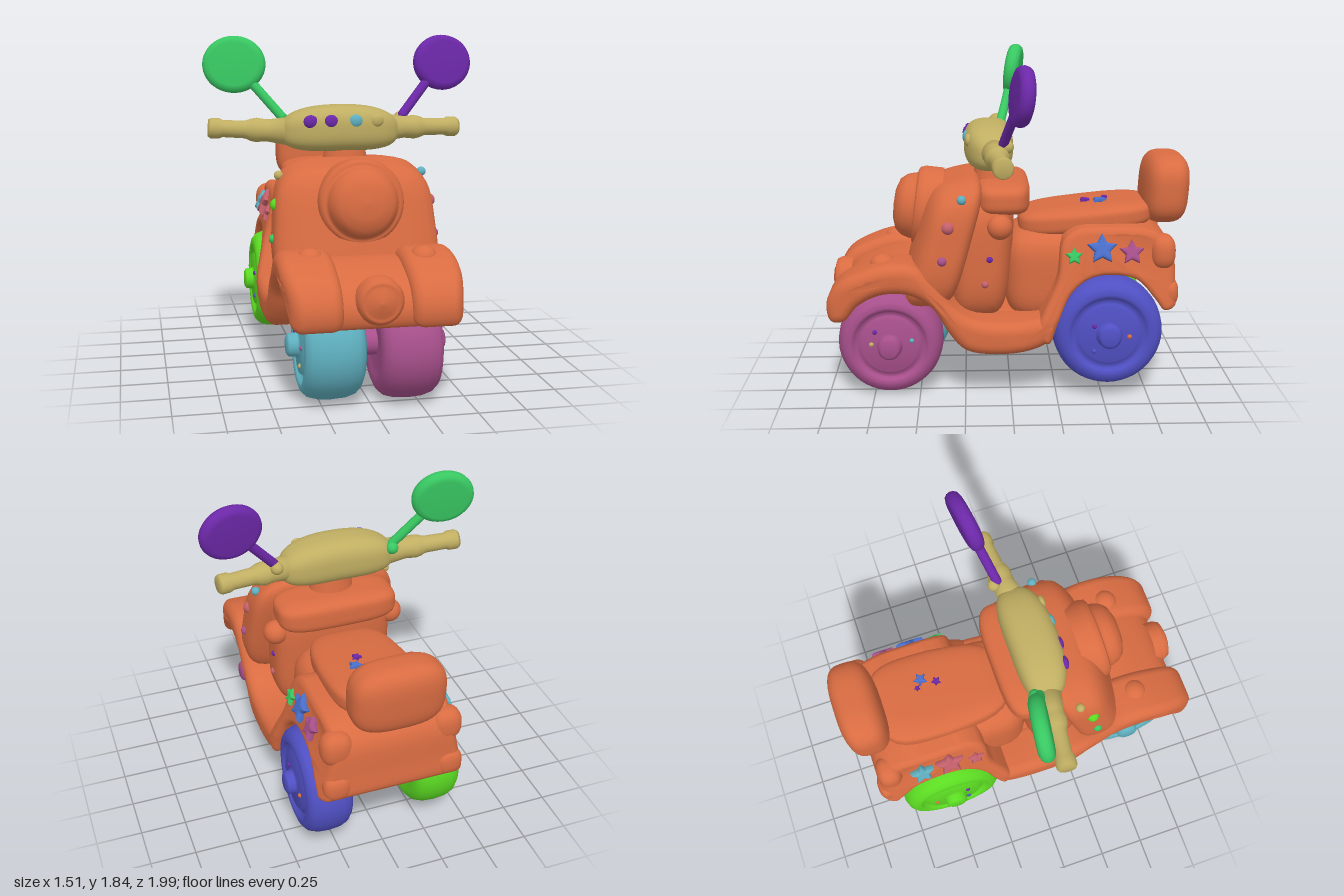
import * as THREE from 'three';
import { toCreasedNormals } from 'three/addons/utils/BufferGeometryUtils.js';

const paint = (name, color) => {
  const m = new THREE.MeshStandardMaterial({ color });
  m.name = name;
  return m;
};

export function createModel() {
  const root = new THREE.Group();
  root.name = 'scooter';
  const orange = paint('orange', 0xd96c42), pink = paint('pink', 0xa8508c), teal = paint('teal', 0x5fb0c0),
    blue = paint('blue', 0x5050c4), lime = paint('lime', 0x5cdc22), tan = paint('tan', 0xc0ae62),
    purple = paint('purple', 0x6c28a8), green = paint('green', 0x38c862),
    sky = paint('skyBlue', 0x4a70cc), rose = paint('rose', 0xc4606c);

  const add = (name, geo, mat, x = 0, y = 0, z = 0, parent = root) => {
    const m = new THREE.Mesh(geo, mat);
    m.name = name;
    m.position.set(x, y, z);
    parent.add(m);
    return m;
  };

  // Rounded block: a sphere pushed out to a superellipsoid, then bent by a rule
  const blob = (w, h, d, p = 4, rule) => {
    const g = new THREE.SphereGeometry(1, 48, 32), a = g.attributes.position, v = new THREE.Vector3();
    for (let i = 0; i < a.count; i++) {
      v.fromBufferAttribute(a, i);
      const n = (Math.abs(v.x) ** p + Math.abs(v.y) ** p + Math.abs(v.z) ** p) ** (1 / p);
      v.set(v.x / n * w, v.y / n * h, v.z / n * d);
      if (rule) rule(v);
      a.setXYZ(i, v.x, v.y, v.z);
    }
    g.computeVertexNormals();
    return g;
  };

  // Smooth side outline given as (z, y), extruded across x with rounded edges
  const slab = (pts, width, bevel, rule = x => x) => {
    const curve = new THREE.CatmullRomCurve3(pts.map(([z, y]) => new THREE.Vector3(z, y, 0)), true);
    const shape = new THREE.Shape(curve.getPoints(90).slice(0, -1).map(q => new THREE.Vector2(q.x, q.y)));
    const depth = width - 2 * bevel;
    const g = new THREE.ExtrudeGeometry(shape, { depth, bevelEnabled: true, bevelThickness: bevel,
      bevelSize: bevel, bevelOffset: -bevel, bevelSegments: 6, steps: 1 });
    g.translate(0, 0, -depth / 2);
    g.rotateY(-Math.PI / 2);
    const a = g.attributes.position;
    for (let i = 0; i < a.count; i++) a.setX(i, rule(a.getX(i), a.getY(i), a.getZ(i)));
    return toCreasedNormals(g, 0.8);
  };

  const lathe = pts => new THREE.LatheGeometry(pts.map(([r, t]) => new THREE.Vector2(r, t)), 48);
  const ball = (name, r, mat, x, y, z, parent) => add(name, new THREE.SphereGeometry(r, 20, 14), mat, x, y, z, parent);

  // Front fenders running back into the floor, narrowing at the nose
  const ribbon = [[.97, .46], [.99, .56], [.93, .67], [.8, .74], [.66, .78], [.52, .77], [.42, .68], [.32, .55],
    [.2, .47], [0, .45], [-.16, .47], [-.24, .47], [-.21, .35], [-.1, .29], [.1, .27], [.25, .3], [.34, .4],
    [.42, .53], [.55, .61], [.7, .61], [.82, .55], [.9, .46]];
  for (const s of [1, -1]) {
    const nose = (x, y, z) => s * x > 0 ? x * (1 - .35 * (Math.max(0, z - .72) / .27) ** 2) : x;
    add('fenderAndFloorSide', slab(ribbon, .29, .06, nose), orange, s * .317, 0, 0);
    add('fenderLamp', blob(.07, .06, .07, 2), orange, s * .29, .745, s > 0 ? .69 : .65);
  }
  add('fenderAndFloorCentre', slab(ribbon.map(([z, y]) => [z * .95, y - Math.max(0, y - .4) * .12]), .5, .03), orange);

  // Lower front lamp
  const lamp = lathe([[.12, 0], [.12, .06], [.105, .09], [.09, .095], [.075, .09], [.06, .105], [0, .115]]);
  lamp.rotateX(Math.PI / 2);
  add('lowerLamp', lamp, orange, .01, .59, .878);

  // Front shield, leaning back and bowed forward
  add('shield', blob(.435, .365, .15, 4.5, v => {
    v.y -= .1 * Math.max(0, v.y) * (v.z / .15 + 1);
    v.z += .04 * (1 - (v.x / .435) ** 2) - .28 * v.y;
    v.x *= 1 - .18 * Math.max(v.y, -.1);
  }), orange, 0, .86, .34);

  // Headlight drum
  const head = lathe([[.228, -.1], [.228, 0], [.218, .03], [.2, .04], [.187, .035], [.183, .06], [.17, .1],
    [.14, .135], [.08, .155], [0, .16]]);
  head.rotateX(Math.PI / 2);
  add('headlight', head, orange, .01, 1.0, .485).rotation.x = -.12;

  // Inner leg shield, glove box and neck
  add('innerPanel', blob(.34, .36, .16, 4, v => { v.z -= .08 * v.y; }), orange, 0, .77, .15);
  add('gloveBox', blob(.34, .09, .15, 4), orange, 0, 1.09, .04);
  const neck = new THREE.CylinderGeometry(.1, .13, .16, 32);
  neck.scale(1, 1, .8);
  add('neck', neck, orange, 0, 1.22, .1);
  for (const s of [1, -1]) ball('innerKnob', .068, orange, s * .34, .96, .06);

  // Rear body with wheel arch, narrowing upward and towards the tail
  add('rearBody', slab([[-.28, .88], [-.25, .68], [-.17, .5], [-.13, .38], [-.2, .33], [-.25, .45], [-.32, .6],
    [-.42, .68], [-.55, .7], [-.68, .67], [-.78, .56], [-.83, .5], [-.89, .52], [-.89, .65], [-.87, .84],
    [-.76, .93], [-.5, .95], [-.36, .94]], .9, .035,
  (x, y, z) => x * Math.min(1.02, 1 - .55 * (y - .5)) * (1 - .14 * (Math.max(0, -z - .6) / .29) ** 2)), orange);
  add('seatBase', blob(.29, .26, .25, 4), orange, 0, .65, -.22);

  // Seat and backrest
  add('seat', blob(.25, .075, .37, 4, v => {
    v.y -= .1 * v.z;
    v.x *= 1 - .35 * Math.max(v.z, 0);
  }), orange, 0, .955, -.42);
  add('backrest', blob(.25, .19, .125, 3.2, v => { v.z -= .06 * v.y; }), orange, 0, 1.11, -.865);

  // Tail lamps
  for (const s of [1, -1]) {
    add('upperTailLamp', blob(.085, .095, .07, 2.5), orange, s * .3, .81, -.82);
    add('lowerTailLamp', blob(.075, .075, .05, 2.5), orange, s * .31, .585, -.86);
  }

  // Wheels: tyre, rim and hub in one profile, with tiny studs placed by (z, y) from the hub
  const wheel = (name, mat, s, x, y, z, r, w, studs) => {
    const g = new THREE.Group();
    g.name = name;
    g.position.set(s * x, y, z);
    g.rotation.z = -s * Math.PI / 2;
    root.add(g);
    const tyre = lathe([[0, -.12], [.14, -.12], [.17, -.13], [.22, -.135], [.255, -.122], [.28, -.1], [.295, -.06],
      [.3, 0], [.295, .06], [.28, .1], [.255, .122], [.225, .13], [.205, .122], [.195, .105], [.17, .105],
      [.155, .125], [.075, .125], [.065, .135], [.062, .17], [.045, .18], [0, .182]]);
    tyre.scale(r / .3, w, r / .3);
    add('tyre', tyre, mat, 0, 0, 0, g);
    for (const [m, dz, dy] of studs) ball('stud', .013, m, -s * dy, .125 * w, dz, g);
  };
  const rearStuds = [[purple, .08, .05], [orange, -.11, -.01], [blue, .08, -.09]];
  wheel('frontLeftWheel', pink, 1, .195, .298, .66, .29, 1.2, [[tan, .1, .01], [teal, -.12, .03], [purple, .08, .08]]);
  wheel('frontRightWheel', teal, -1, .195, .298, .62, .288, 1.2, [[pink, .1, .01], [purple, -.1, .04], [tan, .05, -.1]]);
  wheel('rearLeftWheel', blue, 1, .31, .38, -.525, .3, 1, rearStuds);
  wheel('rearRightWheel', lime, -1, .32, .375, -.5, .29, 1, rearStuds);
  const axle = new THREE.CylinderGeometry(.07, .07, .4, 24);
  axle.rotateZ(Math.PI / 2);
  add('frontAxle', axle, pink, 0, .3, .64);
  add('rearAxle', axle, lime, 0, .378, -.51);

  // Handlebar with swept grips
  add('handlebarBody', blob(.325, .125, .135, 2.8, v => {
    v.z -= .02 * (v.x / .325) ** 2;
    v.y -= .02 * (v.x / .325) ** 2;
  }), tan, -.03, 1.352, .115);
  const grip = lathe([[0, 0], [.075, 0], [.06, .1], [.062, .13], [.066, .16], [.06, .19], [.048, .22],
    [.046, .34], [.055, .36], [.055, .405], [.045, .42], [0, .42]]);
  for (const s of [1, -1]) {
    const m = add('grip', grip, tan, s > 0 ? .235 : -.325, s > 0 ? 1.345 : 1.335, .09);
    m.rotation.set(0, s * .1, -s * (Math.PI / 2 + (s > 0 ? .02 : -.05)), 'YXZ');
    ball('mirrorMount', .035, s > 0 ? tan : green, s * .33, 1.39, .02);
  }
  [[-.21, purple], [-.1, purple], [.033, teal], [.15, tan]].forEach(([x, m]) =>
    add('dashButton', blob(.038, .035, .02, 2), m, x, 1.397, .238 - .4 * (x + .03) ** 2));

  // Mirrors on slanted stems
  for (const [s, mat] of [[1, purple], [-1, green]]) {
    const path = new THREE.LineCurve3(new THREE.Vector3(s * .34, 1.41, .04), new THREE.Vector3(s * .51, 1.61, -.02));
    add('mirrorStem', new THREE.TubeGeometry(path, 4, .026, 14), mat);
    ball('mirrorStemEnd', .026, mat, s * .34, 1.41, .04);
    const disc = lathe([[0, -.043], [.13, -.042], [.155, -.034], [.168, -.018], [.172, 0], [.168, .018],
      [.155, .034], [.13, .042], [0, .043]]);
    disc.rotateX(Math.PI / 2);
    disc.scale(1, .9, 1);
    add('mirror', disc, mat, s * .587, 1.69, -.045).rotation.set(-.12, s * .15, 0, 'YXZ');
  }

  // Shield dots
  const dots = [[.39, 1.12, .262, .025, teal, tan], [.412, .975, .335, .035, rose, lime],
    [.435, .8, .368, .025, pink, green], [.335, .78, .115, .018, purple, green], [.335, .64, .14, .02, rose, green]];
  for (const [x, y, z, r, left, right] of dots) {
    ball('leftDot', r, left, x, y, z);
    ball('rightDot', r, right, -x, y, z);
  }

  // Stars on the rear flanks and seat
  const star = r => {
    const pts = Array.from({ length: 10 }, (_, i) => {
      const a = Math.PI / 2 + i * Math.PI / 5, q = i % 2 ? r * .52 : r;
      return new THREE.Vector2(Math.cos(a) * q, Math.sin(a) * q);
    });
    return new THREE.ExtrudeGeometry(new THREE.Shape(pts), { depth: .015, bevelThickness: .014,
      bevelSize: r * .2, bevelOffset: -r * .2, bevelSegments: 2 });
  };
  for (const [y, z, r, left, right] of [[.8, -.335, .05, green, rose], [.84, -.485, .085, sky, rose],
    [.82, -.645, .07, pink, teal]])
    for (const s of [1, -1])
      add('flankStar', star(r), s > 0 ? left : right, s * .367, y, z).rotation.set(-.38, s * Math.PI / 2, 0, 'YXZ');
  for (const [x, z, r, m] of [[.075, -.5, .04, sky], [.04, -.42, .028, purple], [.03, -.53, .018, purple]])
    add('seatStar', star(r), m, x, 1.02 - .1 * (z + .42), z).rotation.x = -Math.PI / 2;

  return root;
}
